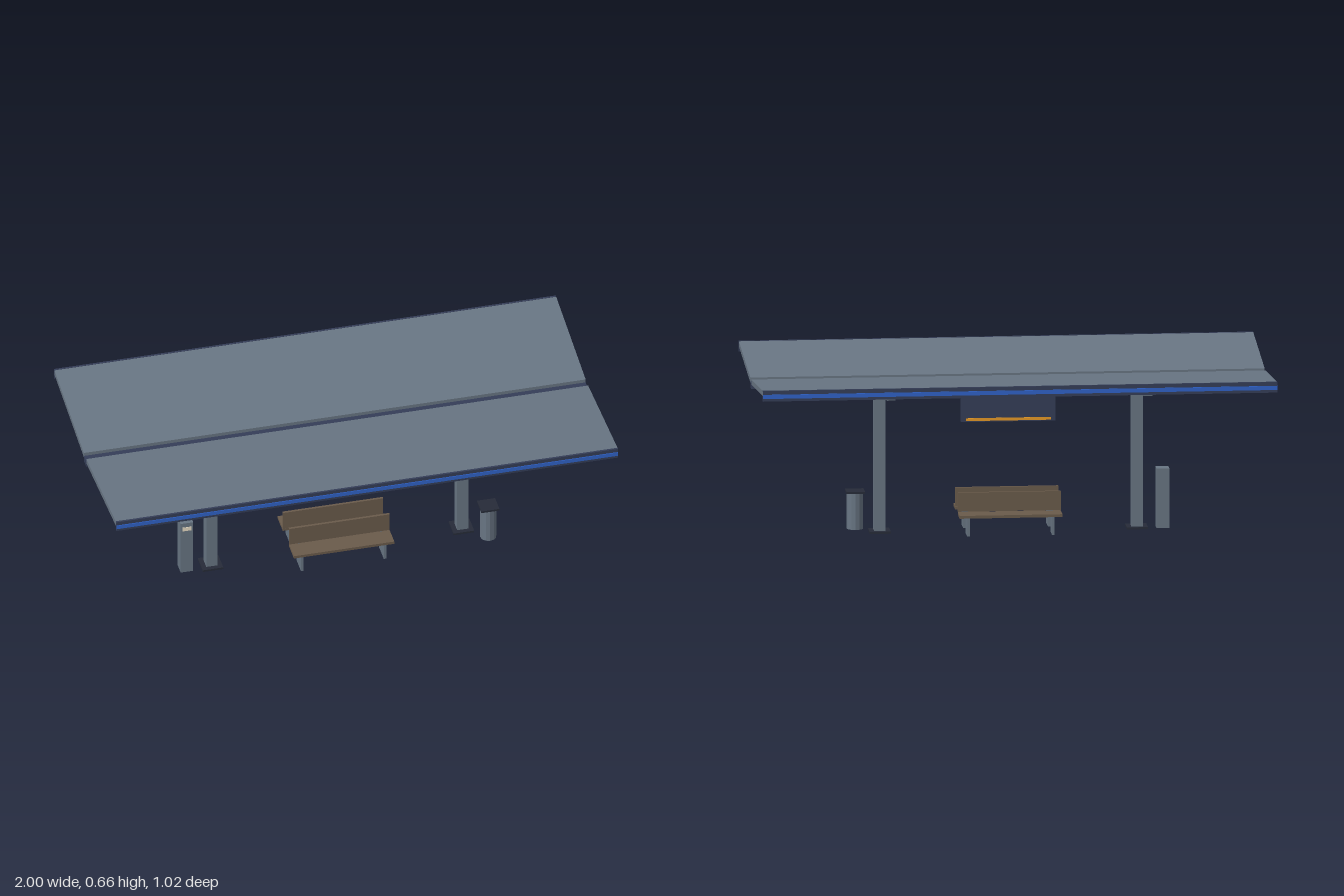
import * as THREE from 'three';

const mat = (name, color) => {
  const m = new THREE.MeshStandardMaterial({ color });
  m.name = name;
  return m;
};

export function createModel() {
  const steel = mat('grey steel', 0x687583);
  const navy = mat('dark navy', 0x343d57);
  const dark = mat('dark metal', 0x262b38);
  const blue = mat('blue stripe', 0x2f62c8);
  const wood = mat('brown slats', 0x6a5b4b);
  const cream = mat('cream light', 0xf0e4cc);
  const amber = mat('amber', 0xf0a028);

  const model = new THREE.Group();
  model.name = 'platformShelter';

  const add = (parent, name, geometry, material, x = 0, y = 0, z = 0) => {
    const mesh = new THREE.Mesh(geometry, material);
    mesh.name = name;
    mesh.position.set(x, y, z);
    parent.add(mesh);
    return mesh;
  };
  // box given by its lower and upper corners
  const box = (parent, name, material, [x0, y0, z0], [x1, y1, z1]) =>
    add(parent, name, new THREE.BoxGeometry(x1 - x0, y1 - y0, z1 - z0), material,
      (x0 + x1) / 2, (y0 + y1) / 2, (z0 + z1) / 2);
  // side profile of [z, y] points, extruded along x and centred on it
  const profile = (parent, name, material, points, width, x = 0) => {
    const shape = new THREE.Shape(points.map(([z, y]) => new THREE.Vector2(z, y)));
    const g = new THREE.ExtrudeGeometry(shape, { depth: width, bevelEnabled: false });
    g.translate(0, 0, -width / 2).rotateY(-Math.PI / 2);
    return add(parent, name, g, material, x);
  };

  // Each half: roof wing with its beams, light and fascia, plus an outward-facing bench
  for (const [name, turn] of [['frontHalf', 0], ['backHalf', Math.PI]]) {
    const half = new THREE.Group();
    half.name = name;
    half.rotation.y = turn;
    model.add(half);

    profile(half, 'roofPanel', steel,
      [[0.02, 0.594], [0.503, 0.643], [0.501, 0.663], [0.02, 0.614]], 2);
    for (const x of [-0.5, 0.5]) {
      profile(half, 'roofBeam', steel,
        [[0.018, 0.555], [0.493, 0.614], [0.497, 0.6425], [0.018, 0.594]], 0.032, x);
    }
    box(half, 'fascia', navy, [-1, 0.622, 0.501], [1, 0.664, 0.509]);
    box(half, 'fasciaStripe', blue, [-1, 0.633, 0.509], [1, 0.649, 0.512]);
    const light = add(half, 'stripLight', new THREE.BoxGeometry(1.87, 0.01, 0.03),
      cream, 0, 0.612, 0.25);
    light.rotation.x = -0.1;

    // bench
    const bench = new THREE.Group();
    bench.name = 'bench';
    half.add(bench);
    box(bench, 'seat', wood, [-0.2, 0.072, 0.05], [0.2, 0.083, 0.133]);
    box(bench, 'backrest', wood, [-0.2, 0.085, 0.048], [0.2, 0.16, 0.058]);
    for (const x of [-0.165, 0.165]) {
      box(bench, 'benchLeg', steel, [x - 0.005, 0, 0.05], [x + 0.005, 0.072, 0.125]);
      box(bench, 'backrestBracket', steel, [x - 0.005, 0.072, 0.049], [x + 0.005, 0.087, 0.057]);
    }

    // hanging sign bar, one on each face
    box(half, 'signBar', amber, [-0.165, 0.434, 0.015], [0.165, 0.445, 0.017]);
  }

  // Central gutter and posts
  box(model, 'gutter', navy, [-1, 0.576, -0.021], [1, 0.6, 0.021]);
  for (const x of [-0.5, 0.5]) {
    box(model, 'post', steel, [x - 0.0225, 0.008, -0.0225], [x + 0.0225, 0.58, 0.0225]);
    box(model, 'postBase', dark, [x - 0.041, 0, -0.041], [x + 0.041, 0.008, 0.041]);
  }

  // Hanging sign
  box(model, 'signPanel', navy, [-0.184, 0.43, -0.015], [0.184, 0.525, 0.015]);
  for (const x of [-0.15, 0.15]) {
    add(model, 'signRod', new THREE.CylinderGeometry(0.003, 0.003, 0.055, 8), dark, x, 0.55, 0);
  }

  // Ticket machine
  box(model, 'ticketMachine', steel, [-0.625, 0, -0.024], [-0.575, 0.235, 0.024]);
  box(model, 'ticketScreen', cream, [-0.618, 0.199, 0.024], [-0.582, 0.216, 0.026]);

  // Litter bin
  const binBody = new THREE.CylinderGeometry(0.032, 0.032, 0.143, 12).toNonIndexed();
  binBody.computeVertexNormals();
  add(model, 'binBody', binBody, steel, 0.588, 0.0715, 0.077);
  box(model, 'binLid', dark, [0.552, 0.143, 0.041], [0.624, 0.151, 0.113]);

  return model;
}
